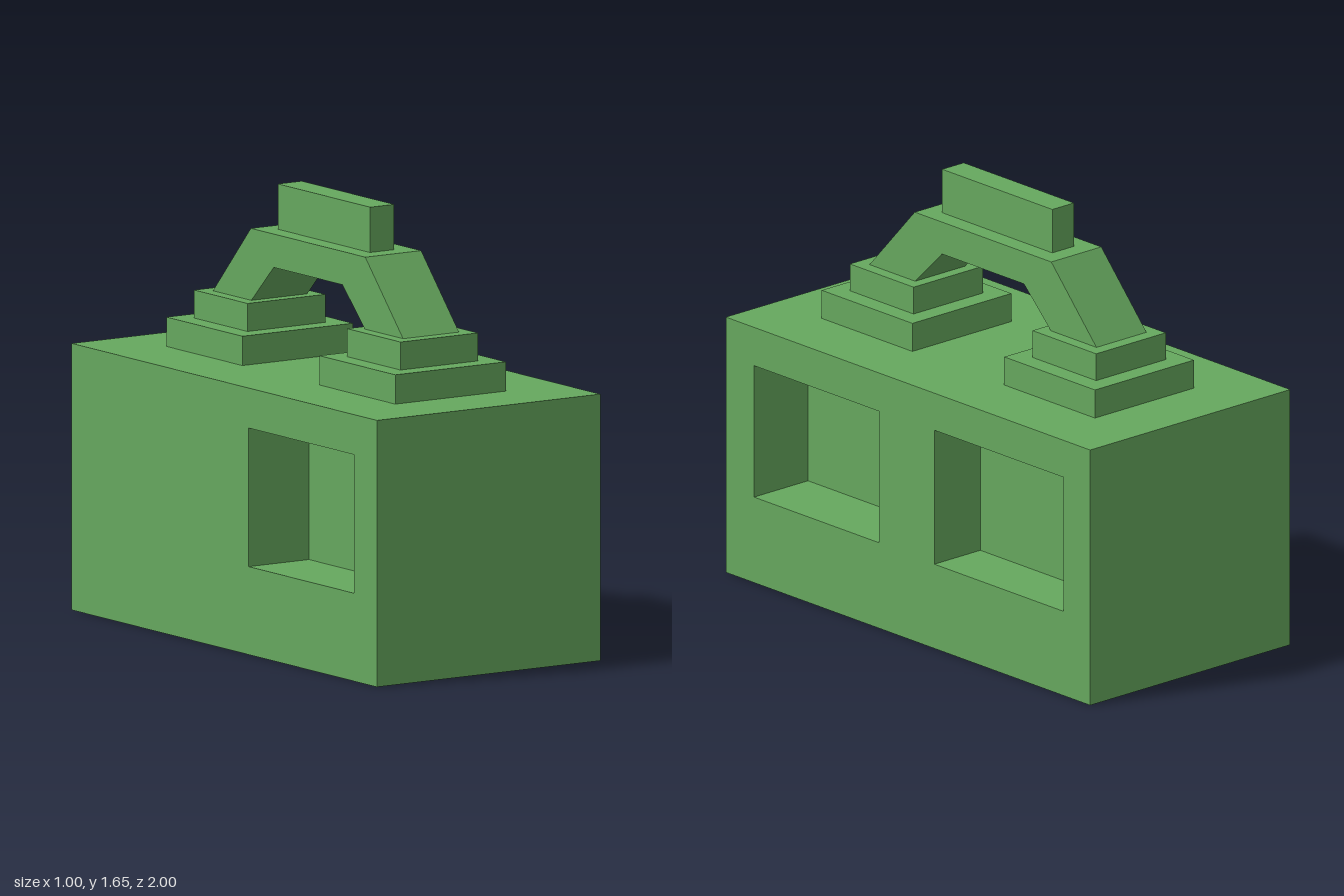
import * as THREE from 'three';

const material = new THREE.MeshStandardMaterial({ color: 0x66a85e, flatShading: true });
const HALF_X = 0.5, HALF_Z = 1, HEIGHT = 1;

// Recessed pockets: which side, z range, y range, depth
const POCKETS = [
  { side: 1, z: [0.16, 0.845], y: [0.335, 0.85], depth: 0.27 },
  { side: 1, z: [-0.855, -0.145], y: [0.33, 0.855], depth: 0.23 },
  { side: -1, z: [0.16, 0.85], y: [0.33, 0.85], depth: 0.27 },
];

function part(name, geometry, x = 0, y = 0, z = 0) {
  const mesh = new THREE.Mesh(geometry, material);
  mesh.name = name;
  mesh.position.set(x, y, z);
  return mesh;
}

// Box given by its size and the height of its underside
function block(name, w, h, d, bottom, z = 0) {
  return part(name, new THREE.BoxGeometry(w, h, d), 0, bottom + h / 2, z);
}

// Box geometry keeping only the faces listed (0 +x, 1 -x, 2 +y, 3 -y, 4 +z, 5 -z)
function partialBox(w, h, d, faces) {
  const g = new THREE.BoxGeometry(w, h, d);
  const index = Array.from(g.index.array);
  g.clearGroups();
  g.setIndex(faces.flatMap((f) => index.slice(f * 6, f * 6 + 6)));
  return g;
}

const rect = (a, b, c, d) => [[a, c], [b, c], [b, d], [a, d]].map(([x, y]) => new THREE.Vector2(x, y));

// Long wall with openings cut for its pockets
function sideWall(side) {
  const shape = new THREE.Shape(rect(-HALF_Z, HALF_Z, 0, HEIGHT));
  for (const p of POCKETS.filter((q) => q.side === side)) {
    const [a, b] = p.z.map((z) => -side * z).sort((m, n) => m - n);
    shape.holes.push(new THREE.Path(rect(a, b, p.y[0], p.y[1]).reverse()));
  }
  const g = new THREE.ShapeGeometry(shape);
  g.rotateY(side * Math.PI / 2);
  return part(side > 0 ? 'leftWall' : 'rightWall', g, side * HALF_X);
}

// Inward-facing box, open towards the outside
function pocket({ side, z, y, depth }) {
  const g = partialBox(depth, y[1] - y[0], z[1] - z[0], [side > 0 ? 0 : 1, 2, 3, 4, 5]);
  g.scale(-1, 1, 1); // mirroring turns the faces inward
  g.computeVertexNormals();
  return part('pocket', g, side * (HALF_X - depth / 2), (y[0] + y[1]) / 2, (z[0] + z[1]) / 2);
}

export function createModel() {
  const model = new THREE.Group();
  model.name = 'handledBlock';

  // Main body
  const body = new THREE.Group();
  body.name = 'body';
  body.add(part('bodyShell', partialBox(2 * HALF_X, HEIGHT, 2 * HALF_Z, [2, 3, 4, 5]), 0, HEIGHT / 2));
  for (const side of [1, -1]) body.add(sideWall(side));
  POCKETS.forEach((p) => body.add(pocket(p)));
  model.add(body);

  // Stepped feet under the handle
  for (const [name, z] of [['front', 0.502], ['back', -0.5]]) {
    model.add(block(name + 'LowerPad', 0.495, 0.11, 0.498, HEIGHT, z));
    model.add(block(name + 'UpperPad', 0.348, 0.105, 0.35, HEIGHT + 0.11, z));
  }

  // Angular arch handle, profile in z and y, extruded across x
  const profile = new THREE.Shape([
    [-0.623, 1.215], [-0.375, 1.485], [0.375, 1.485], [0.623, 1.215],
    [0.372, 1.215], [0.225, 1.36], [-0.225, 1.36], [-0.372, 1.215],
  ].map(([z, y]) => new THREE.Vector2(z, y)));
  const arch = new THREE.ExtrudeGeometry(profile, { depth: 0.25, bevelEnabled: false });
  arch.translate(0, 0, -0.125);
  arch.rotateY(Math.PI / 2);
  model.add(part('handleArch', arch));

  // Narrow grip bar on top
  model.add(block('gripBar', 0.108, 0.17, 0.605, 1.485));

  return model;
}
